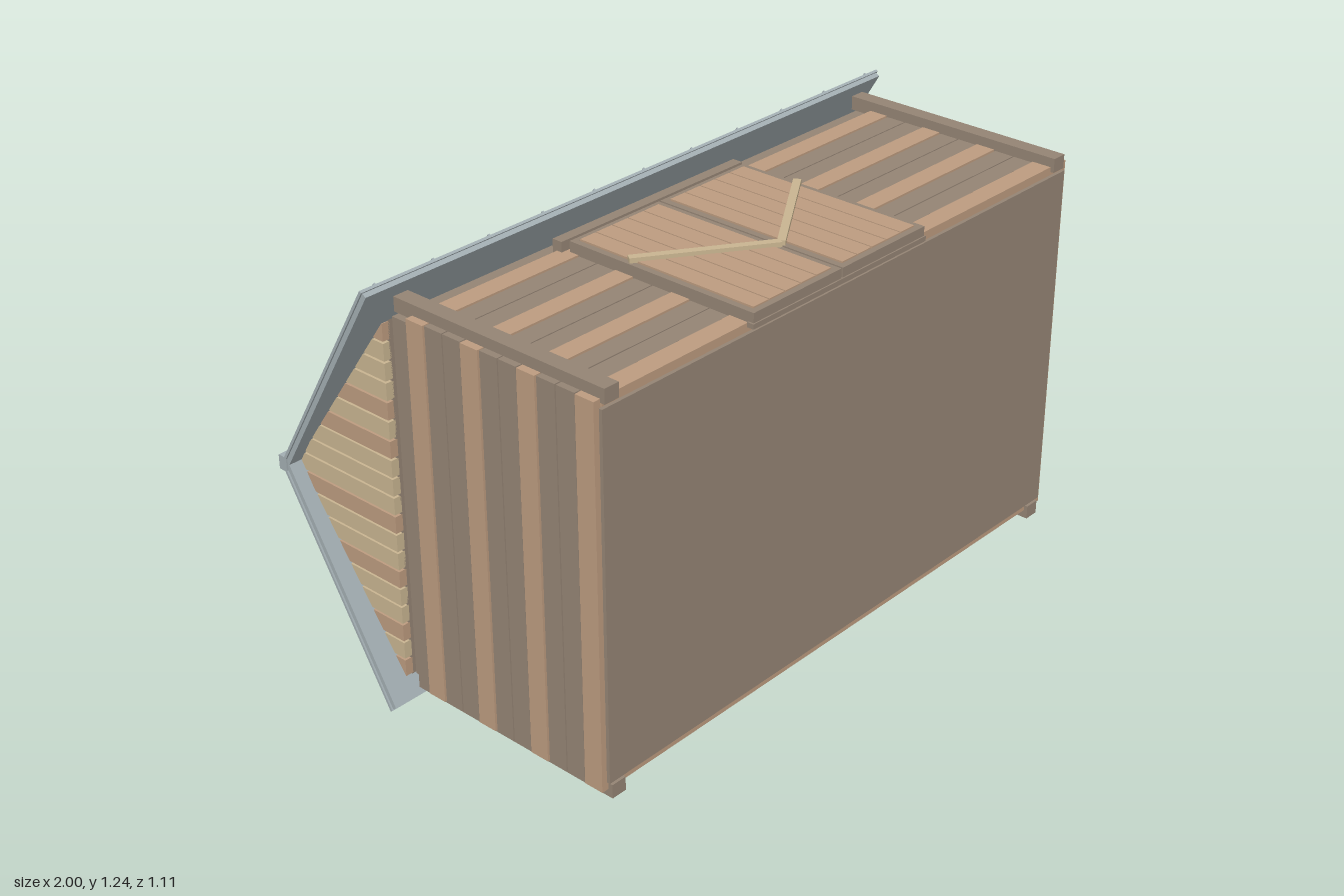
import * as THREE from 'three';

const mat = (color) => new THREE.MeshStandardMaterial({ color, flatShading: true });
const M = {
  dark: mat(0x948474), light: mat(0xbc9b7f), tan: mat(0xc8b490),
  roof: mat(0xa2adb1), panel: mat(0xbcc2c0),
};
const MID = 0.62; // height of the ridge line

// Box given by its extents on each axis
function box(parent, name, x0, x1, y0, y1, z0, z1, m) {
  const mesh = new THREE.Mesh(new THREE.BoxGeometry(x1 - x0, y1 - y0, z1 - z0), m);
  mesh.position.set((x0 + x1) / 2, (y0 + y1) / 2, (z0 + z1) / 2);
  mesh.name = name;
  parent.add(mesh);
  return mesh;
}

function group(parent, name) {
  const g = new THREE.Group();
  g.name = name;
  parent.add(g);
  return g;
}

// Slice of the gable triangle between two heights, extruded along x
function gableSlice(parent, name, y0, y1, x0, x1, m) {
  const base = 0.16, apex = 0.53, half = 0.52;
  const edge = (y) => apex - (apex - base) * Math.min(1, Math.abs(y - MID) / half);
  const pts = [[base, y0], [edge(y0), y0]];
  if (y0 < MID && y1 > MID) pts.push([apex, MID]);
  pts.push([edge(y1), y1], [base, y1]);
  const shape = new THREE.Shape(pts.map((p) => new THREE.Vector2(p[0], p[1])));
  const geo = new THREE.ExtrudeGeometry(shape, { depth: x1 - x0, bevelEnabled: false });
  geo.rotateY(Math.PI / 2);
  geo.translate(x0, 0, 0);
  const mesh = new THREE.Mesh(geo, m);
  mesh.name = name;
  parent.add(mesh);
}

export function createModel() {
  const model = new THREE.Group();
  model.name = 'barn';

  // Body with floor facing +z
  box(model, 'body', -0.92, 0.92, 0.095, 1.145, -0.16, 0.545, M.dark);

  // Wall boards on all four walls, every third one lighter
  const walls = group(model, 'wallBoards');
  const w = 0.063;
  for (let i = 0; i < 10; i++) {
    const z1 = 0.535 - i * w, z0 = z1 - w + 0.004;
    const lightOne = i % 3 === 0;
    const m = lightOne ? M.light : M.dark;
    const out = lightOne ? 0.003 : 0;
    box(walls, 'frontBoard', -0.91, 0.91, 1.14, 1.166 + out, z0, z1, m);
    box(walls, 'backBoard', -0.91, 0.91, 0.074 - out, 0.1, z0, z1, m);
    box(walls, 'leftBoard', 0.915, 0.934 + out, 0.072, 1.168, z0, z1, m);
    box(walls, 'rightBoard', -0.934 - out, -0.915, 0.072, 1.168, z0, z1, m);
  }

  // Corner posts
  for (const s of [-1, 1]) {
    const x0 = s > 0 ? 0.865 : -0.912, x1 = x0 + 0.047;
    box(model, 'frontCornerPost', x0, x1, 1.155, 1.196, -0.16, 0.546, M.dark);
    box(model, 'backCornerPost', x0, x1, 0.046, 0.087, -0.16, 0.546, M.dark);
  }

  // Gable ends: backing triangle and narrow boards
  const brown = [0, 2, 5, 8, 12, 14, 18];
  const gables = group(model, 'gables');
  const n = 19, step = 1.04 / n;
  for (const s of [-1, 1]) {
    const span = (a, b) => (s > 0 ? [a, b] : [-b, -a]);
    gableSlice(gables, 'gableBacking', 0.1, 1.14, ...span(0.89, 0.934), M.dark);
    for (let i = 0; i < n; i++) {
      const y0 = 0.1 + i * step + 0.003;
      const m = brown.includes(i) ? M.light : M.tan;
      gableSlice(gables, 'gableBoard', y0, y0 + step - 0.006, ...span(0.93, 0.954), m);
    }
  }

  // Two roof slopes, each built from the ridge outwards along local z
  const dy = 0.61, dz = 0.365, len = Math.hypot(dy, dz);
  for (const s of [-1, 1]) {
    const slope = group(model, s > 0 ? 'frontRoofSlope' : 'backRoofSlope');
    slope.position.set(0, MID, -0.535);
    slope.rotation.x = -s * Math.atan2(dy, dz);
    const layer = (name, x0, x1, a, b, z0, z1, m) =>
      box(slope, name, x0, x1, Math.min(s * a, s * b), Math.max(s * a, s * b), z0, z1, m);
    layer('roofDeck', -0.995, 0.995, -0.011, 0.003, 0, len - 0.004, M.roof);
    layer('roofSheet', -1, 1, 0.003, 0.011, 0, len, M.roof);
    for (let i = -5; i <= 5; i++) {
      layer('roofSeam', i * 0.19 - 0.003, i * 0.19 + 0.003, 0.01, 0.015, 0.01, len, M.roof);
    }
    layer('roofPanel', -0.475, 0.54, 0.012, 0.029, 0.04, 0.648, M.panel);
  }
  box(model, 'ridgeCap', -1, 1, MID - 0.021, MID + 0.021, -0.557, -0.528, M.roof);

  // Double doors with framed planks and diagonal braces
  const doors = group(model, 'doors');
  const cx = -0.069;
  for (const s of [-1, 1]) {
    const leaf = group(doors, s > 0 ? 'leftDoor' : 'rightDoor');
    const x0 = s > 0 ? cx + 0.003 : cx - 0.336, x1 = x0 + 0.333;
    const z0 = -0.062, z1 = 0.552, f = 0.018;
    box(leaf, 'doorBacking', x0, x1, 1.16, 1.186, z0, z1, M.dark);
    box(leaf, 'doorStile', x0, x0 + f, 1.165, 1.199, z0, z1, M.dark);
    box(leaf, 'doorStile', x1 - f, x1, 1.165, 1.199, z0, z1, M.dark);
    box(leaf, 'doorRail', x0, x1, 1.165, 1.199, z0, z0 + f, M.dark);
    box(leaf, 'doorRail', x0, x1, 1.165, 1.199, z1 - f, z1, M.dark);
    const pw = (x1 - x0 - 2 * f) / 5;
    for (let i = 0; i < 5; i++) {
      const px = x0 + f + i * pw;
      box(leaf, 'doorPlank', px + 0.002, px + pw - 0.002, 1.18, 1.203, z0 + f, z1 - f, M.light);
    }
    const ax = cx, az = 0.355, bx = cx + s * 0.328, bz = 0.135;
    const brace = new THREE.Mesh(
      new THREE.BoxGeometry(Math.hypot(bx - ax, bz - az), 0.014, 0.022), M.tan);
    brace.position.set((ax + bx) / 2, 1.207, (az + bz) / 2);
    brace.rotation.y = Math.atan2(az - bz, bx - ax);
    brace.name = 'doorBrace';
    leaf.add(brace);
  }
  box(doors, 'doorHeader', -0.422, 0.276, 1.16, 1.198, -0.106, -0.074, M.dark);
  box(doors, 'doorSill', -0.41, 0.27, 1.158, 1.172, 0.535, 0.556, M.dark);

  return model;
}
